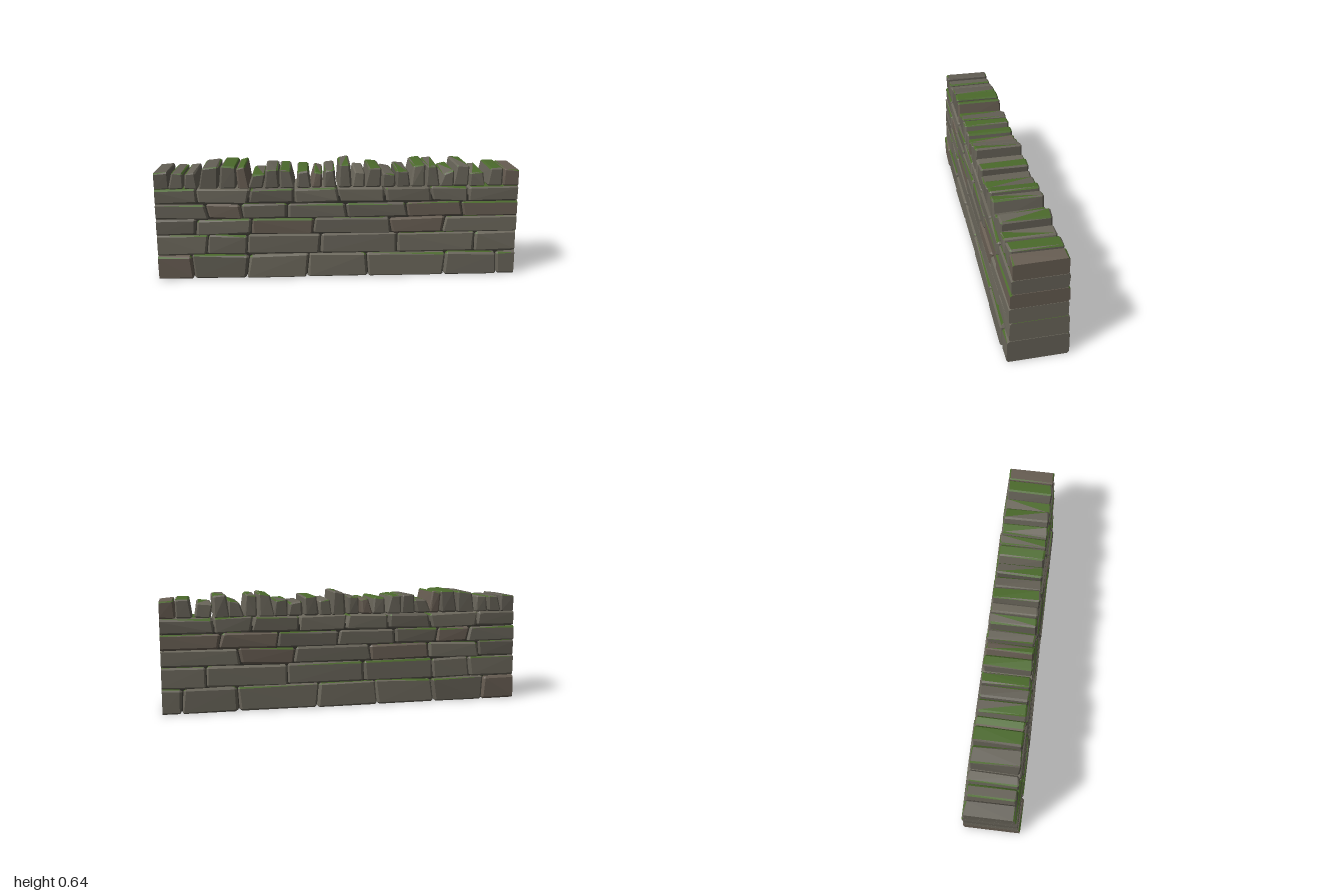
import * as THREE from 'three';
import { ConvexGeometry } from 'three/addons/geometries/ConvexGeometry.js';

// Courses: bottom, top, front z, back z, joint positions along x
const COURSES = [
  { y0: 0, y1: 0.135, zf: 0.165, zb: -0.166, joints: [-1, -0.81, -0.505, -0.17, 0.163, 0.6, 0.895, 1] },
  { y0: 0.135, y1: 0.25, zf: 0.154, zb: -0.16, joints: [-1, -0.725, -0.505, -0.1, 0.33, 0.767, 1] },
  { y0: 0.25, y1: 0.34, zf: 0.153, zb: -0.153, joints: [-1, -0.783, -0.48, -0.137, 0.29, 0.59, 1] },
  { y0: 0.34, y1: 0.425, zf: 0.148, zb: -0.152, joints: [-1, -0.72, -0.53, -0.28, 0.045, 0.38, 0.69, 1] },
  { y0: 0.425, y1: 0.508, zf: 0.144, zb: -0.148, joints: [-1, -0.773, -0.49, -0.243, 0, 0.26, 0.515, 0.72, 1] },
];

// Upright cap stones: left x, right x, top y, sideways lean
const CAPS = [
  [-1, -0.92, 0.605, 0], [-0.915, -0.845, 0.6, 0.01], [-0.835, -0.77, 0.603, 0],
  [-0.75, -0.655, 0.632, 0.012], [-0.645, -0.555, 0.638, 0.01], [-0.55, -0.495, 0.632, -0.012],
  [-0.48, -0.405, 0.588, 0.02], [-0.4, -0.325, 0.615, 0], [-0.32, -0.25, 0.615, -0.01],
  [-0.225, -0.155, 0.605, 0], [-0.14, -0.088, 0.6, 0.012], [-0.075, -0.013, 0.612, 0],
  [0.002, 0.072, 0.641, 0], [0.083, 0.148, 0.6, 0.008], [0.157, 0.235, 0.615, 0.01],
  [0.243, 0.315, 0.59, 0], [0.32, 0.392, 0.602, -0.01], [0.405, 0.48, 0.637, 0.01],
  [0.488, 0.553, 0.63, -0.008], [0.57, 0.64, 0.6, 0.012], [0.643, 0.72, 0.632, 0.012],
  [0.73, 0.81, 0.59, -0.01], [0.835, 0.915, 0.612, 0.01], [0.92, 1, 0.605, 0],
];

const STONE_COLORS = [0x69655a, 0x656156, 0x6d695d, 0x625e54, 0x685e53];

export function createModel() {
  let seed = 41;
  const rand = () => {
    seed = (Math.imul(seed, 1664525) + 1013904223) >>> 0;
    return seed / 4294967296;
  };
  const jitter = (a) => (rand() * 2 - 1) * a;

  const stoneMats = STONE_COLORS.map((color) => new THREE.MeshStandardMaterial({ color, flatShading: true }));
  const mossMat = new THREE.MeshStandardMaterial({ color: 0x4b6a2b, flatShading: true });
  const mortarMat = new THREE.MeshStandardMaterial({ color: 0x35332d });

  // Worn block: every corner is cut back into three points, then hulled.
  // corner(sx, sy, sz) gives the sharp corner for each sign combination.
  function stoneGeometry(corner, bevel) {
    const points = [];
    for (const sx of [-1, 1]) for (const sy of [-1, 1]) for (const sz of [-1, 1]) {
      const p = corner(sx, sy, sz);
      const atEnd = Math.abs(p.x) > 0.999;
      const bx = atEnd ? 0 : bevel * (0.6 + rand() * 0.8) * sx;
      const by = bevel * (0.5 + rand() * 0.6) * sy;
      const bz = bevel * (0.6 + rand() * 0.6) * sz;
      points.push(
        new THREE.Vector3(p.x, p.y - by, p.z - bz),
        new THREE.Vector3(p.x - bx, p.y, p.z - bz),
        new THREE.Vector3(p.x - bx, p.y - by, p.z),
      );
    }
    return new ConvexGeometry(points);
  }

  // Split off some upward facing triangles as moss
  function addStone(parent, name, geometry, mossChance) {
    const pos = geometry.getAttribute('position');
    const lists = { stone: [], moss: [] };
    const v = [0, 1, 2].map(() => new THREE.Vector3());
    const tri = new THREE.Triangle(...v);
    const normal = new THREE.Vector3();
    for (let i = 0; i < pos.count; i += 3) {
      v.forEach((p, k) => p.fromBufferAttribute(pos, i + k));
      tri.getNormal(normal);
      const list = normal.y > 0.5 && rand() < mossChance ? lists.moss : lists.stone;
      v.forEach((p) => list.push(p.x, p.y, p.z));
    }
    const stoneMat = stoneMats[Math.floor(rand() * stoneMats.length)];
    for (const [part, mat] of [['stone', stoneMat], ['moss', mossMat]]) {
      if (!lists[part].length) continue;
      const g = new THREE.BufferGeometry();
      g.setAttribute('position', new THREE.Float32BufferAttribute(lists[part], 3));
      g.computeVertexNormals();
      const mesh = new THREE.Mesh(g, mat);
      mesh.name = part === 'moss' ? 'mossPatch' : name;
      parent.add(mesh);
    }
  }

  const wall = new THREE.Group();
  wall.name = 'stoneWall';

  // Dark filling seen in the joints
  const core = new THREE.Mesh(new THREE.BoxGeometry(1.98, 0.45, 0.26), mortarMat);
  core.name = 'mortarCore';
  core.position.y = 0.235;
  wall.add(core);

  // Five courses of long stones that thin out upwards
  COURSES.forEach(({ y0, y1, zf, zb, joints }, row) => {
    const course = new THREE.Group();
    course.name = `course${row + 1}`;
    const leans = joints.map((x) => (Math.abs(x) === 1 ? 0 : jitter(0.008)));
    for (let i = 0; i < joints.length - 1; i++) {
      const front = zf - rand() * 0.008;
      const back = zb + rand() * 0.008;
      const tilt = jitter(0.004);
      const drop = rand() * 0.003;
      const corner = (sx, sy, sz) => {
        const j = sx < 0 ? i : i + 1;
        const end = Math.abs(joints[j]) === 1;
        const x = end ? joints[j] : joints[j] + leans[j] * sy - sx * 0.003;
        let y = sy < 0 ? y0 + 0.001 : y1 - drop;
        if (row === 0 && sy < 0) y = 0;
        else if (!end) y += tilt * sx;
        const z = (sz > 0 ? front : back) - sz * ((end ? 0.004 : 0) + rand() * 0.004);
        return new THREE.Vector3(x, y, z);
      };
      addStone(course, 'courseStone', stoneGeometry(corner, 0.011), 0.3);
    }
    wall.add(course);
  });

  // Row of upright stones across the top
  const caps = new THREE.Group();
  caps.name = 'capStones';
  for (const [x0, x1, top, lean] of CAPS) {
    const slope = jitter(0.006);
    const taper = 0.003 + rand() * 0.004;
    const corner = (sx, sy, sz) => {
      let x = sx < 0 ? x0 : x1;
      if (Math.abs(x) < 0.999) x += (lean * 0.6 - sx * taper) * (sy > 0 ? 1 : -1) * 0.7 + jitter(0.003);
      const y = sy < 0 ? 0.508 : top - Math.abs(slope) + slope * sx - rand() * 0.005;
      return new THREE.Vector3(x, y, sz * (0.132 - rand() * 0.006));
    };
    addStone(caps, 'capStone', stoneGeometry(corner, 0.009), 0.45);
  }
  wall.add(caps);

  return wall;
}
